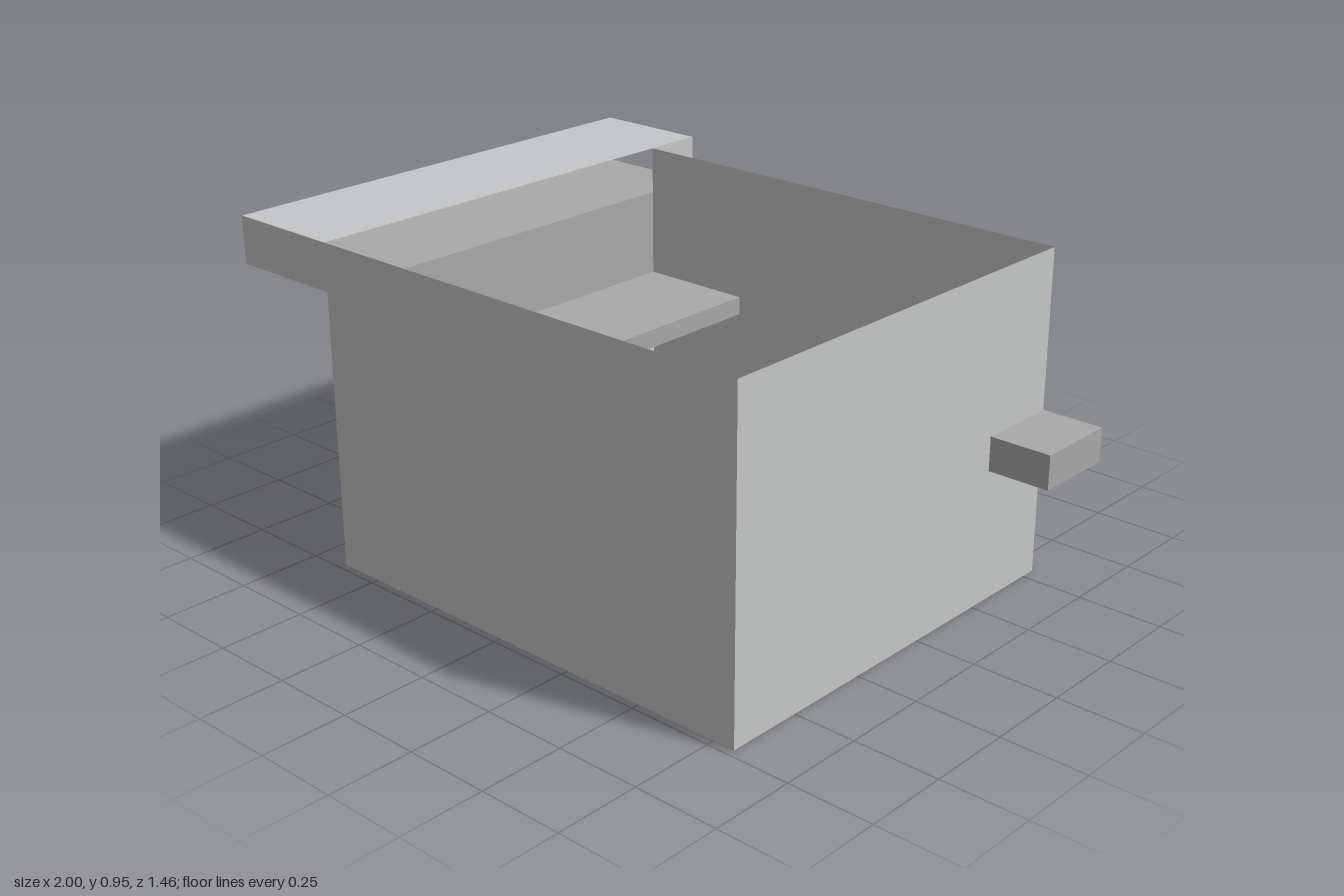
import * as THREE from 'three';

const shell = new THREE.MeshStandardMaterial({ color: 0xc6c7c8, side: THREE.DoubleSide });
shell.name = 'light grey';
const insert = new THREE.MeshStandardMaterial({ color: 0xa9a9a9, side: THREE.DoubleSide });
insert.name = 'dark grey';

// Key planes of the bin
const xOut = -1, xL = -0.64, xShelf = -0.28, xR = 0.815;
const zB = -0.547, zF = 0.727, zEnd = -0.73;
const yTop = 0.955, yDuct = 0.815, yShelf = 0.555, ySlot = 0.5;

export function createModel() {
  const model = new THREE.Group();
  const add = (name, geometry, material) => {
    const mesh = new THREE.Mesh(geometry, material);
    mesh.name = name;
    model.add(mesh);
    return mesh;
  };
  // Upright sheet at a fixed x
  const sheetX = (name, mat, x, y0, y1, z0, z1) =>
    add(name, new THREE.PlaneGeometry(z1 - z0, y1 - y0).rotateY(Math.PI / 2)
      .translate(x, (y0 + y1) / 2, (z0 + z1) / 2), mat);
  // Level sheet at a fixed y
  const sheetY = (name, mat, y, x0, x1, z0, z1) =>
    add(name, new THREE.PlaneGeometry(x1 - x0, z1 - z0).rotateX(-Math.PI / 2)
      .translate((x0 + x1) / 2, y, (z0 + z1) / 2), mat);

  // Open-topped bin
  const front = new THREE.Shape([
    [xL, 0], [xR, 0], [xR, yTop], [xOut, yTop], [xOut, yDuct], [xL, yDuct],
  ].map(([x, y]) => new THREE.Vector2(x, y)));
  add('frontWall', new THREE.ShapeGeometry(front).translate(0, 0, zF), shell);
  add('backWall', new THREE.PlaneGeometry(xR - xL, yTop).rotateY(Math.PI)
    .translate((xL + xR) / 2, yTop / 2, zB), shell);
  sheetX('leftWall', shell, xR, 0, yTop, zB, zF);
  sheetX('rightWall', shell, xL, 0, ySlot, zB, zF);
  sheetY('floor', shell, 0, xL, xR, zB, zF);

  // Side duct, open at the back end and towards the bin
  sheetY('ductTop', shell, yTop, xOut, xL, zEnd, zF);
  sheetX('ductOuterWall', shell, xOut, yDuct, yTop, zEnd, zF);
  sheetX('ductInnerWall', shell, xL, yDuct, yTop, zEnd, zB);
  sheetY('ductFloor', insert, yDuct, xOut, xL, zEnd, zF);

  // Stepped insert: riser, shelf and lip above an open slot
  sheetX('riser', insert, xL, yShelf, yDuct, zB, zF);
  sheetY('shelf', insert, yShelf, xL, xShelf, zB, zF);
  sheetX('shelfLip', insert, xShelf, ySlot, yShelf, zB, zF);
  sheetY('slotFloor', shell, ySlot, xL, xShelf, zB, zF);

  // Block on the left side
  add('sideBlock', new THREE.BoxGeometry(1 - xR, 0.1, 0.25)
    .translate((1 + xR) / 2, 0.44, zB + 0.125), insert);

  return model;
}
